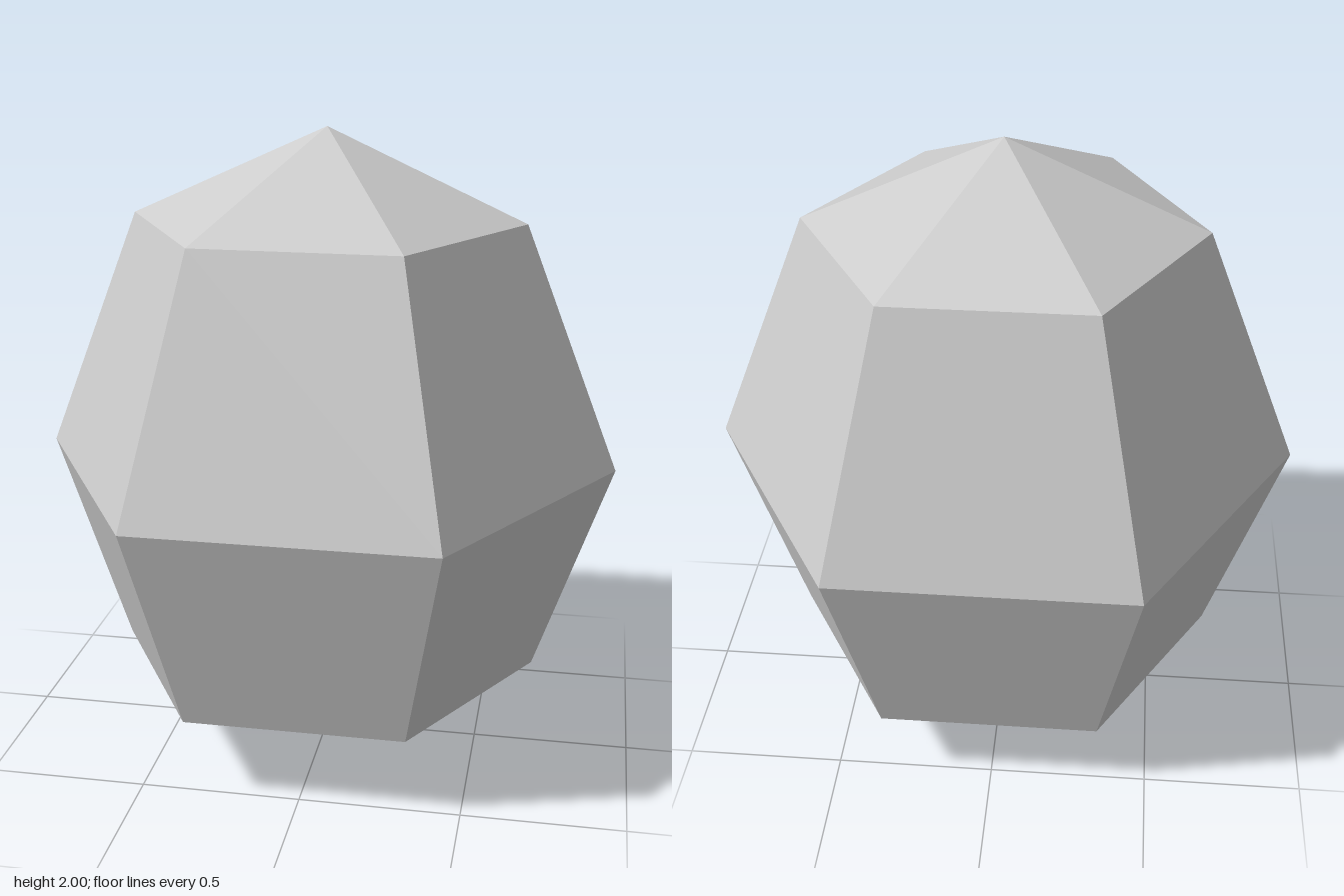
import * as THREE from 'three';

export function createModel() {
  const group = new THREE.Group();
  group.name = 'facetedEgg';

  const grey = new THREE.MeshStandardMaterial({ color: 0xcccccc });
  grey.name = 'light grey';
  grey.flatShading = true;

  // Egg profile from bottom tip to top tip: [radius, height]
  const profile = [
    [0, 0],
    [0.677, 0.284],
    [0.909, 0.963],
    [0.608, 1.724],
    [0, 2],
  ].map(([r, y]) => new THREE.Vector2(r, y));

  // Six-sided body with corners on the x axis
  const shell = new THREE.Mesh(new THREE.LatheGeometry(profile, 6, Math.PI / 2), grey);
  shell.name = 'shell';
  group.add(shell);

  return group;
}
